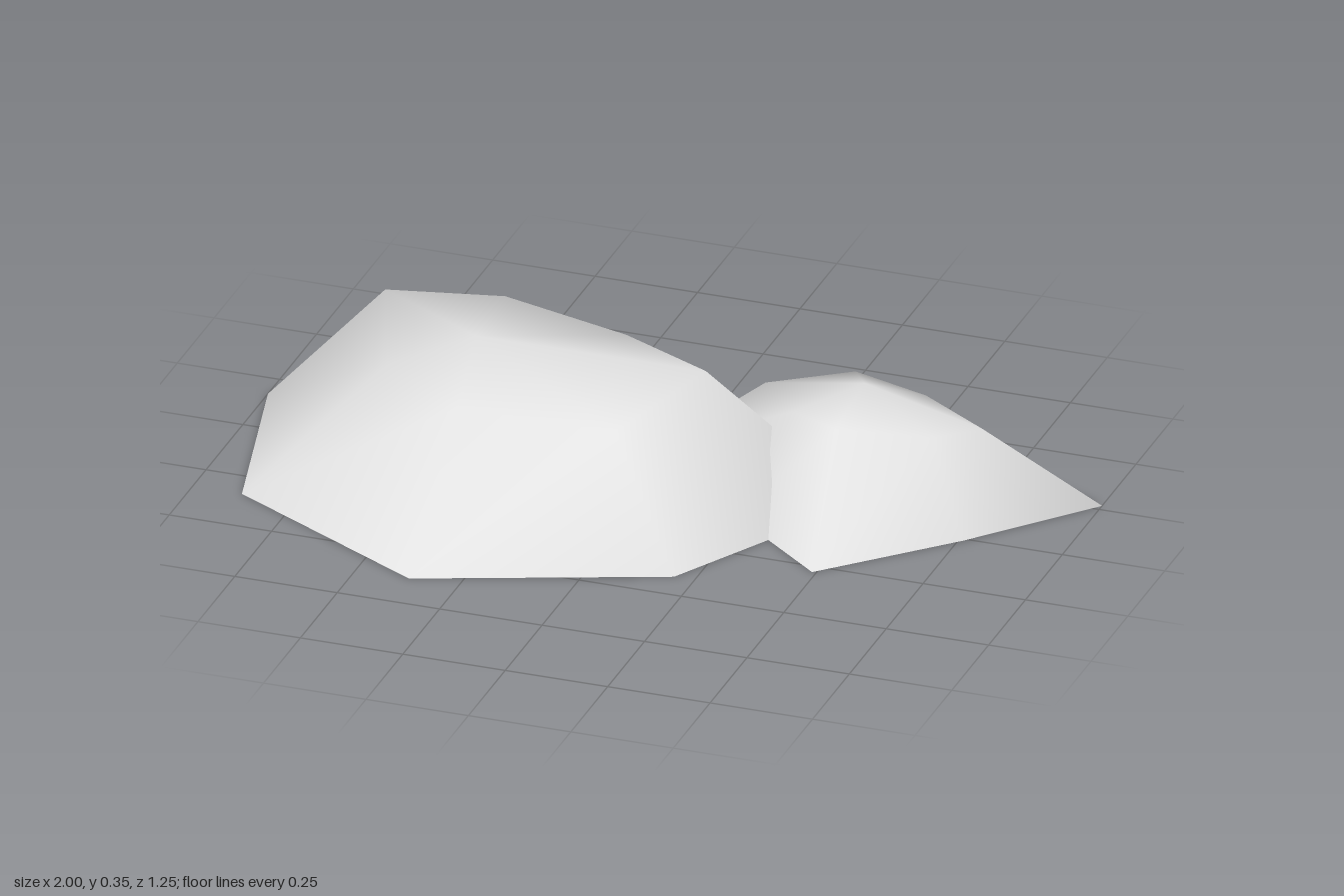
import * as THREE from 'three';

const stone = new THREE.MeshStandardMaterial({ color: 0xe2e2e2, side: THREE.DoubleSide });
stone.name = 'pale stone';

// Smooth open-bottomed boulder: ground ring [x, z], shoulder ring [x, y, z] and a peak.
// Both rings run clockwise as seen from above.
function boulder(name, ground, shoulder, peak) {
  const n = ground.length;
  const points = [...ground.map(([x, z]) => [x, 0, z]), ...shoulder, peak];
  const index = [];
  for (let i = 0; i < n; i++) {
    const j = (i + 1) % n;
    index.push(i, n + i, j, j, n + i, n + j); // side
    index.push(n + i, 2 * n, n + j); // cap
  }
  const geometry = new THREE.BufferGeometry();
  geometry.setAttribute('position', new THREE.Float32BufferAttribute(points.flat(), 3));
  geometry.setIndex(index);
  geometry.computeVertexNormals();
  const mesh = new THREE.Mesh(geometry, stone);
  mesh.name = name;
  return mesh;
}

export function createModel() {
  const model = new THREE.Group();
  model.name = 'rocks';

  model.add(boulder(
    'largeRock',
    [[-1, -0.17], [-0.61, -0.63], [0, -0.45], [0.48, -0.1], [0.2, 0.41], [-0.37, 0.625], [-0.88, 0.34]],
    [[-0.71, 0.32, -0.16], [-0.48, 0.26, -0.335], [-0.15, 0.26, -0.24], [0.13, 0.325, 0],
      [0, 0.265, 0.25], [-0.38, 0.27, 0.27], [-0.6, 0.285, 0.14]],
    [-0.41, 0.353, 0.06],
  ));

  model.add(boulder(
    'smallRock',
    [[1, -0.27], [0.76, 0.01], [0.49, 0.28], [0.22, 0.06], [-0.06, -0.23], [0.3, -0.41], [0.61, -0.425]],
    [[0.745, 0.2, -0.17], [0.66, 0.21, -0.07], [0.46, 0.25, 0.04], [0.33, 0.24, -0.03],
      [0.2, 0.21, -0.21], [0.375, 0.21, -0.335], [0.56, 0.195, -0.3]],
    [0.46, 0.275, -0.16],
  ));

  return model;
}
